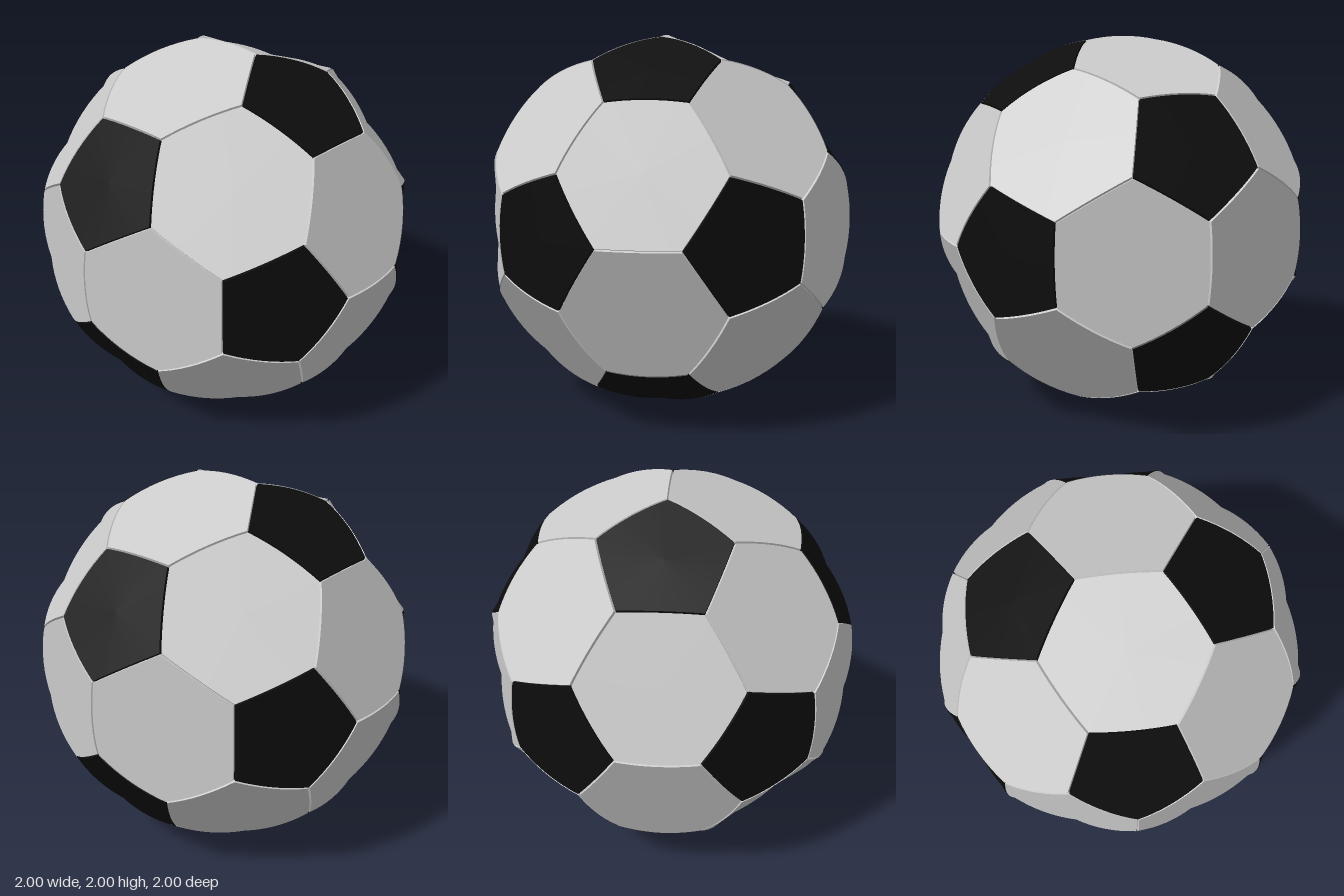
import * as THREE from 'three';

const PHI = (1 + Math.sqrt(5)) / 2;
const ARC_STEPS = 8;

// All sign combinations and cyclic shifts of (a, b, 0), as unit directions
function cyclicPoints(a, b) {
  const out = [];
  for (const s of [1, -1]) for (const t of [1, -1]) {
    const p = [s * a, t * b, 0];
    for (let k = 0; k < 3; k++) {
      out.push(new THREE.Vector3(p[k], p[(k + 1) % 3], p[(k + 2) % 3]).normalize());
    }
  }
  return out;
}

// Panel: arced outline, shallow face, sides sloping down into the seam
function panelGeometry(axis, corners, depth) {
  const u = corners[0].clone().addScaledVector(axis, -corners[0].dot(axis)).normalize();
  const v = axis.clone().cross(u);
  const angle = p => Math.atan2(p.dot(v), p.dot(u));
  const ring = [...corners].sort((a, b) => angle(a) - angle(b));

  const seam = [], rim = [];
  ring.forEach((a, i) => {
    const b = ring[(i + 1) % ring.length];
    for (let k = 0; k < ARC_STEPS; k++) {
      const p = a.clone().lerp(b, k / ARC_STEPS).normalize();
      rim.push(p.clone().lerp(axis, 0.015).normalize());
      seam.push(p.multiplyScalar(0.985));
    }
  });

  const pos = [], nor = [];
  const tri = (a, b, c, n) => {
    const normal = n || b.clone().sub(a).cross(c.clone().sub(a)).normalize();
    for (const p of [a, b, c]) {
      pos.push(p.x, p.y, p.z);
      nor.push(normal.x, normal.y, normal.z);
    }
  };
  const centre = axis.clone().multiplyScalar(depth);
  rim.forEach((p, i) => {
    const j = (i + 1) % rim.length;
    tri(centre, p, rim[j], axis);
    tri(p, seam[i], seam[j]);
    tri(p, seam[j], rim[j]);
  });

  const geo = new THREE.BufferGeometry();
  geo.setAttribute('position', new THREE.Float32BufferAttribute(pos, 3));
  geo.setAttribute('normal', new THREE.Float32BufferAttribute(nor, 3));
  return geo;
}

export function createModel() {
  const model = new THREE.Group();
  model.name = 'ball';
  const white = new THREE.MeshStandardMaterial({ color: 0xcccccc });
  const black = new THREE.MeshStandardMaterial({ color: 0x0d0d0d });

  // Panel centres
  const pentAxes = cyclicPoints(1, PHI);
  const hexAxes = cyclicPoints(PHI, 1 / PHI);
  for (const x of [1, -1]) for (const y of [1, -1]) for (const z of [1, -1]) {
    hexAxes.push(new THREE.Vector3(x, y, z).normalize());
  }

  // Panel corners: a third of the way along each line between neighbouring pentagon centres
  const points = [];
  for (const a of pentAxes) for (const b of pentAxes) {
    if (a !== b && a.dot(b) > 0.4) points.push(a.clone().lerp(b, 1 / 3).normalize());
  }

  const addPanels = (name, axes, sides, depth, material) => {
    const group = new THREE.Group();
    group.name = name + 's';
    for (const axis of axes) {
      const corners = [...points].sort((p, q) => q.dot(axis) - p.dot(axis)).slice(0, sides);
      const mesh = new THREE.Mesh(panelGeometry(axis, corners, depth), material);
      mesh.name = name;
      group.add(mesh);
    }
    group.position.y = 1;
    model.add(group);
  };
  addPanels('pentagonPanel', pentAxes, 5, 0.947, black);
  addPanels('hexagonPanel', hexAxes, 6, 0.925, white);

  return model;
}
